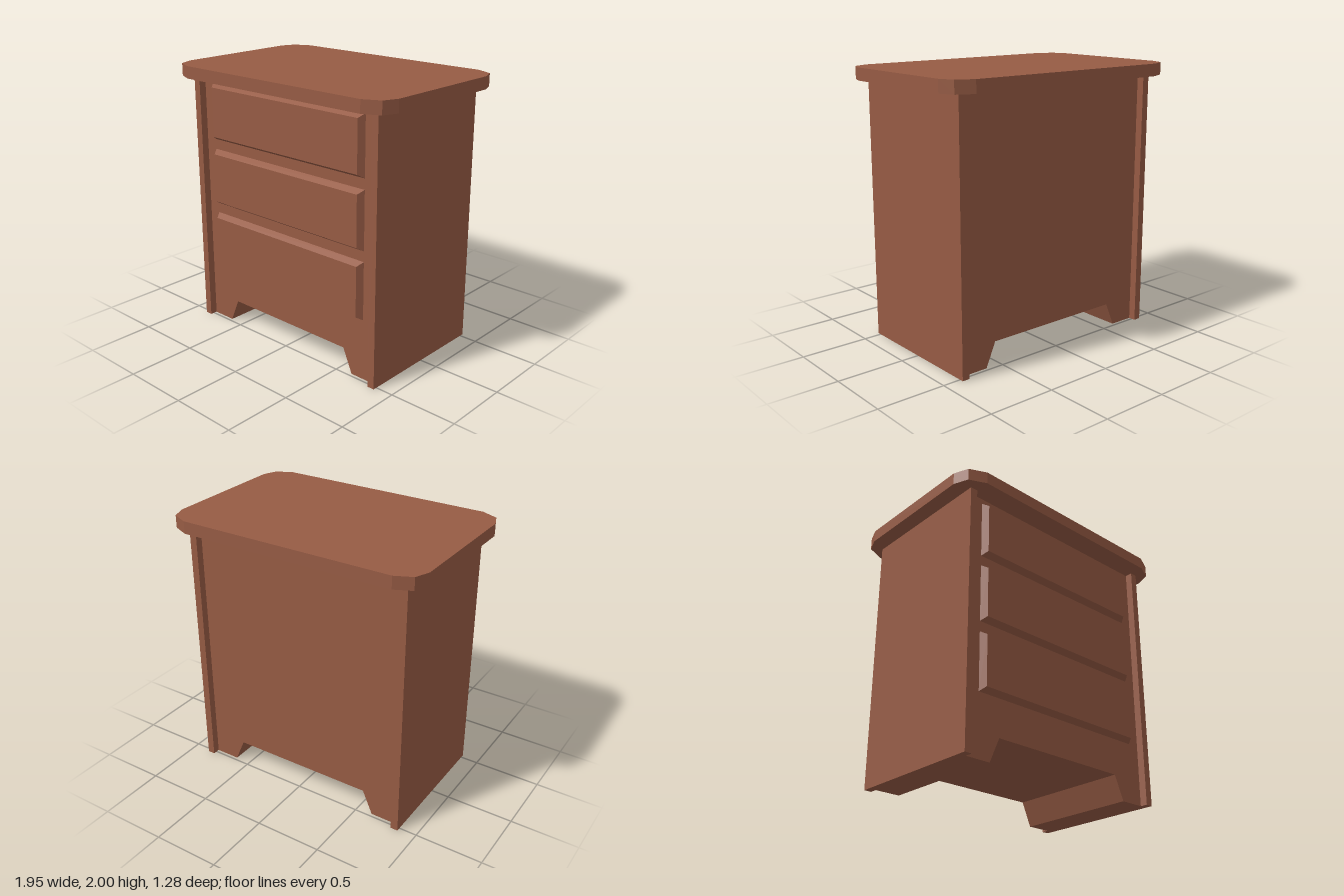
import * as THREE from 'three';

const wood = new THREE.MeshStandardMaterial({ color: 0x965b44 });
wood.name = 'brown wood';

function shapeOf(points) {
  return new THREE.Shape(points.map(([x, y]) => new THREE.Vector2(x, y)));
}

function extrude(points, depth) {
  return new THREE.ExtrudeGeometry(shapeOf(points), { depth, bevelEnabled: false });
}

function addMesh(group, name, geometry, x = 0, y = 0, z = 0) {
  const mesh = new THREE.Mesh(geometry, wood);
  mesh.name = name;
  mesh.position.set(x, y, z);
  group.add(mesh);
  return mesh;
}

// Box whose front face is inset to give a sloping border
function drawerGeometry(w, h, d, inset) {
  const geo = new THREE.BoxGeometry(w, h, d).toNonIndexed();
  const p = geo.attributes.position;
  for (let i = 0; i < p.count; i++) {
    if (p.getZ(i) > 0) {
      p.setX(i, p.getX(i) - Math.sign(p.getX(i)) * inset);
      p.setY(i, p.getY(i) - Math.sign(p.getY(i)) * inset);
    }
  }
  geo.computeVertexNormals();
  return geo;
}

export function createModel() {
  const group = new THREE.Group();
  group.name = 'chestOfDrawers';
  const topY = 1.91, bodyZ = 0.475;

  // Carcass with the foot cut-out running front to back
  addMesh(group, 'carcass', extrude([
    [-0.812, 0], [-0.622, 0], [-0.545, 0.178], [0.545, 0.178],
    [0.622, 0], [0.812, 0], [0.812, topY], [-0.812, topY],
  ], bodyZ * 2), 0, 0, -bodyZ);

  // Side panels stand slightly proud at front and back
  for (const [name, s] of [['leftSidePanel', 1], ['rightSidePanel', -1]]) {
    addMesh(group, name, new THREE.BoxGeometry(0.055, topY, 1.06), s * 0.8385, topY / 2, 0);
  }

  // Three raised drawer fronts
  const front = drawerGeometry(1.44, 0.424, 0.045, 0.028);
  [0.66, 1.16, 1.66].forEach((y, i) => {
    addMesh(group, `drawerFront${i + 1}`, front, 0, y, bodyZ + 0.0225);
  });

  // Top board with faceted corners
  const corner = [[0.977, 0.475], [0.935, 0.582], [0.812, 0.638]];
  const outline = [];
  for (const [sx, sz] of [[1, 1], [-1, 1], [-1, -1], [1, -1]]) {
    const pts = corner.map(([x, z]) => [x * sx, z * sz]);
    outline.push(...(sx * sz > 0 ? pts : pts.reverse()));
  }
  addMesh(group, 'topBoard', extrude(outline, 0.09), 0, 2, 0).rotation.x = Math.PI / 2;

  return group;
}
